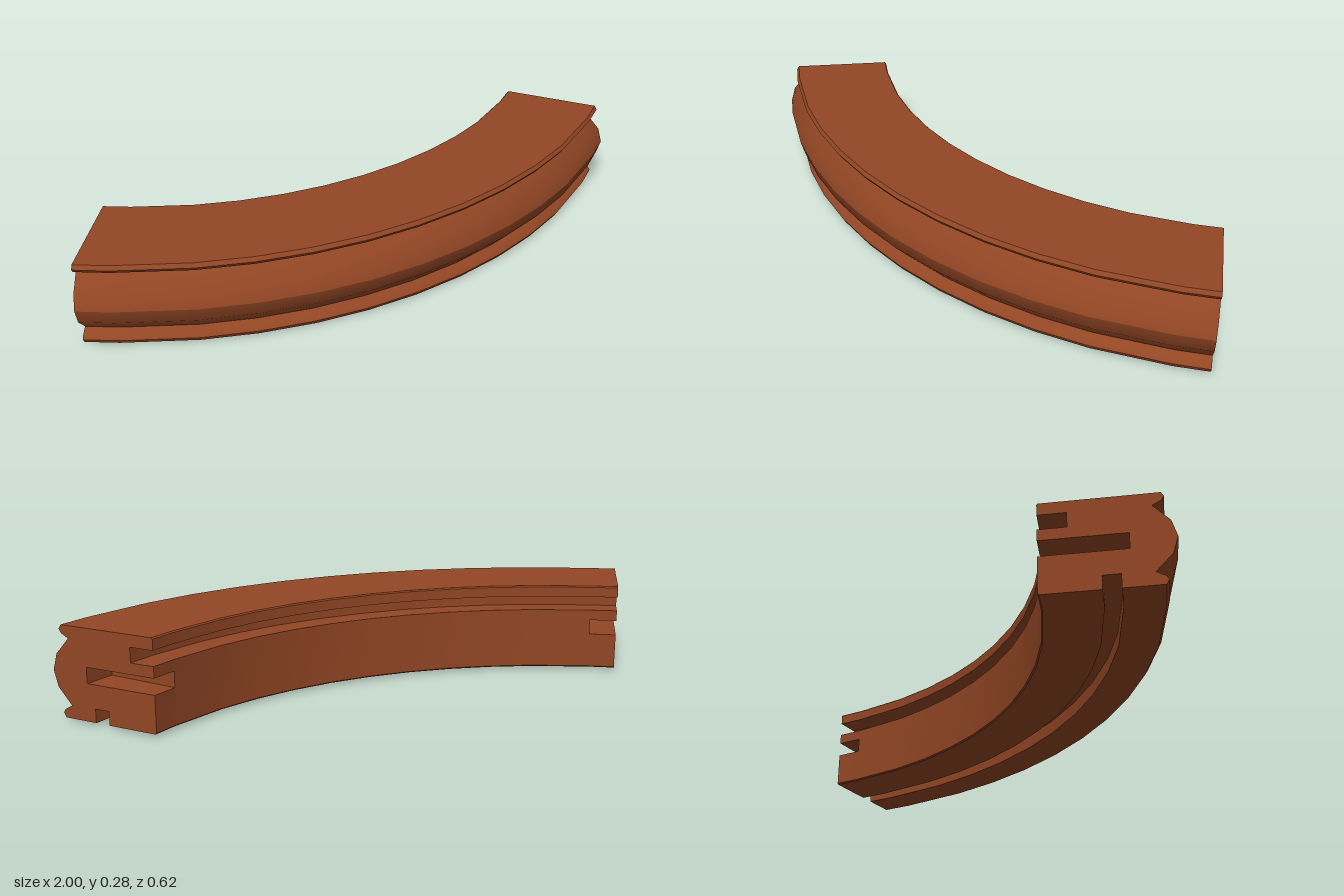
import * as THREE from 'three';
import { toCreasedNormals } from 'three/addons/utils/BufferGeometryUtils.js';

const CENTRE_Z = -1.39; // the arc's centre lies behind the model
const END = 36, POCKET_END = 32.3; // degrees from the middle

// Cross-section as [radius, height], anticlockwise
const section = [
  [1.335, 0.012], [1.339, 0.008],
  [1.502, 0.008], [1.502, 0.05], [1.551, 0.05], [1.551, 0.008], // bottom groove
  [1.663, 0.008], [1.671, 0.022], [1.663, 0.034], [1.638, 0.047], // lower lip
  [1.685, 0.097], [1.7, 0.147], [1.685, 0.197], // rounded belly
  [1.638, 0.247], [1.663, 0.26], [1.671, 0.272], [1.663, 0.285], // upper lip
  [1.339, 0.285], [1.335, 0.281],
  [1.335, 0.249], [1.415, 0.249], [1.415, 0.204], [1.335, 0.204], // inner groove
];
// Slot cut into both ends, open to the inner side
const slot = [[1.335, 0.17], [1.576, 0.17], [1.576, 0.122], [1.335, 0.122]];
const endSection = [...section, ...slot];

function place([r, y], degrees) {
  const a = THREE.MathUtils.degToRad(degrees);
  return [r * Math.sin(a), y, r * Math.cos(a) + CENTRE_Z];
}

// Sweeps a closed cross-section through a list of angles
function sweep(out, profile, angles) {
  for (let k = 0; k < angles.length - 1; k++) {
    profile.forEach((p, i) => {
      const q = profile[(i + 1) % profile.length];
      const a = place(p, angles[k]), b = place(p, angles[k + 1]);
      const c = place(q, angles[k + 1]), d = place(q, angles[k]);
      out.push(...a, ...b, ...c, ...a, ...c, ...d);
    });
  }
}

// Flat face across the arc, facing away from the middle
function cap(out, profile, degrees) {
  const points = profile.map(([r, y]) => new THREE.Vector2(r, y));
  if (THREE.ShapeUtils.isClockWise(points)) points.reverse();
  for (const face of THREE.ShapeUtils.triangulateShape(points, [])) {
    const order = degrees > 0 ? [...face].reverse() : face;
    for (const i of order) out.push(...place([points[i].x, points[i].y], degrees));
  }
}

function buildMesh(positions, material, name) {
  const raw = new THREE.BufferGeometry();
  raw.setAttribute('position', new THREE.Float32BufferAttribute(positions, 3));
  const mesh = new THREE.Mesh(toCreasedNormals(raw, THREE.MathUtils.degToRad(32)), material);
  mesh.name = name;
  return mesh;
}

export function createModel() {
  const group = new THREE.Group();
  group.name = 'curvedRim';
  const wood = new THREE.MeshStandardMaterial({ color: 0x924624 });
  wood.name = 'reddishBrown';

  // Curved body with its slotted ends
  const body = [];
  sweep(body, section, [-POCKET_END, -24, -18, -12, -6, 0, 6, 12, 18, 24, POCKET_END]);
  sweep(body, endSection, [-END, -POCKET_END]);
  sweep(body, endSection, [POCKET_END, END]);
  for (const side of [-1, 1]) {
    cap(body, endSection, side * END);
    cap(body, slot, side * POCKET_END);
  }
  group.add(buildMesh(body, wood, 'rimBody'));

  // Shallow faceted bump under the inner edge
  const cone = new THREE.ConeGeometry(1, 1, 6, 1, true).toNonIndexed();
  cone.rotateX(Math.PI);
  cone.scale(0.075, 0.008, 0.082);
  cone.computeVertexNormals();
  const bump = new THREE.Mesh(cone, wood);
  bump.name = 'undersideBump';
  bump.position.set(...place([1.418, 0.004], -9.7));
  bump.rotation.y = THREE.MathUtils.degToRad(-9.7);
  group.add(bump);

  return group;
}
